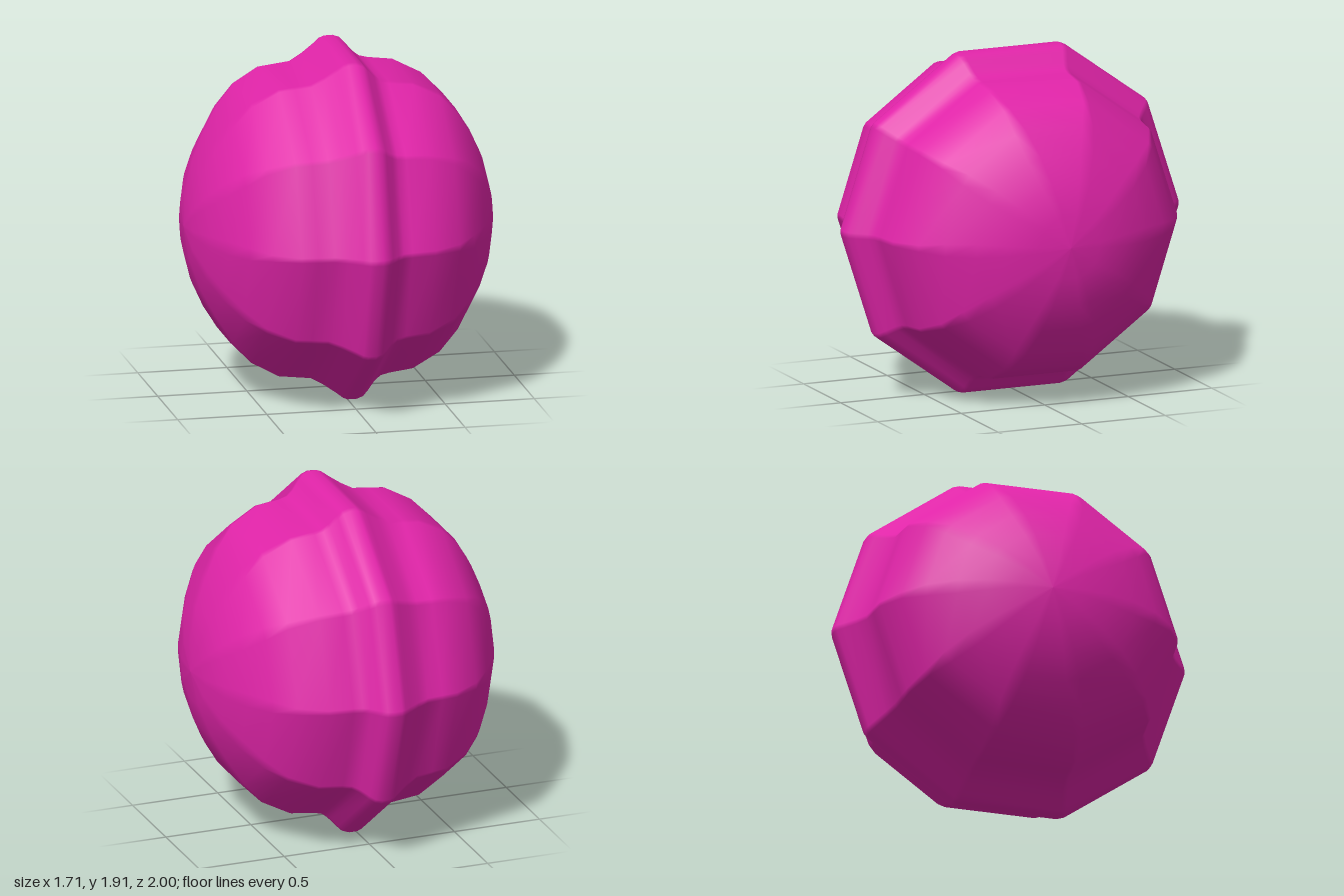
import * as THREE from 'three';

// Half-profile along x: [x, distance from the axis to the flat sides]
const PROFILE = [
  [-0.856, 0], [-0.84, 0.175], [-0.79, 0.345], [-0.72, 0.49], [-0.63, 0.63], [-0.525, 0.735],
  [-0.38, 0.812], [-0.29, 0.822], [-0.2, 0.832], [-0.13, 0.87], [-0.06, 0.918], [-0.025, 0.945],
  [0.0, 0.954], [0.045, 0.955], [0.08, 0.943], [0.108, 0.915], [0.15, 0.866], [0.185, 0.84],
  [0.235, 0.828], [0.37, 0.812], [0.525, 0.735], [0.63, 0.63], [0.72, 0.49], [0.79, 0.345],
  [0.84, 0.175], [0.856, 0],
];
const SIDES = 10;
const RAD = Math.PI / 180;

// Ten-sided body around the x axis, corners slightly bevelled, softer towards the ends
function bodyGeometry() {
  const pos = [], index = [], n = SIDES * 2;
  for (const [x, h] of PROFILE) {
    const bevel = THREE.MathUtils.lerp(0.9, 5, THREE.MathUtils.smoothstep(Math.abs(x), 0.45, 0.8)) * RAD;
    const r = h / Math.cos(18 * RAD - bevel);
    for (let k = 0; k < SIDES; k++) {
      for (const s of [-1, 1]) {
        const t = k * 36 * RAD + s * bevel;
        pos.push(x, r * Math.sin(t), r * Math.cos(t));
      }
    }
  }
  const last = PROFILE.length - 2;
  for (let i = 0; i <= last; i++) {
    for (let j = 0; j < n; j++) {
      const a = i * n + j, d = i * n + (j + 1) % n;
      const b = a + n, c = d + n;
      if (i < last) index.push(a, b, c);
      if (i > 0) index.push(a, c, d);
    }
  }
  // The end caps need one triangle per side
  for (let j = 0; j < n; j++) {
    const a = last * n + j, d = last * n + (j + 1) % n;
    index.push(a, a + n, d);
  }
  const g = new THREE.BufferGeometry();
  g.setAttribute('position', new THREE.Float32BufferAttribute(pos, 3));
  g.setIndex(index);
  g.computeVertexNormals();
  return g;
}

export function createModel() {
  const group = new THREE.Group();
  group.name = 'ridgedBall';
  const body = new THREE.Mesh(bodyGeometry(), new THREE.MeshStandardMaterial({ color: 0xe024a8 }));
  body.name = 'bodyWithRidge';
  body.position.y = 0.955;
  group.add(body);
  return group;
}
